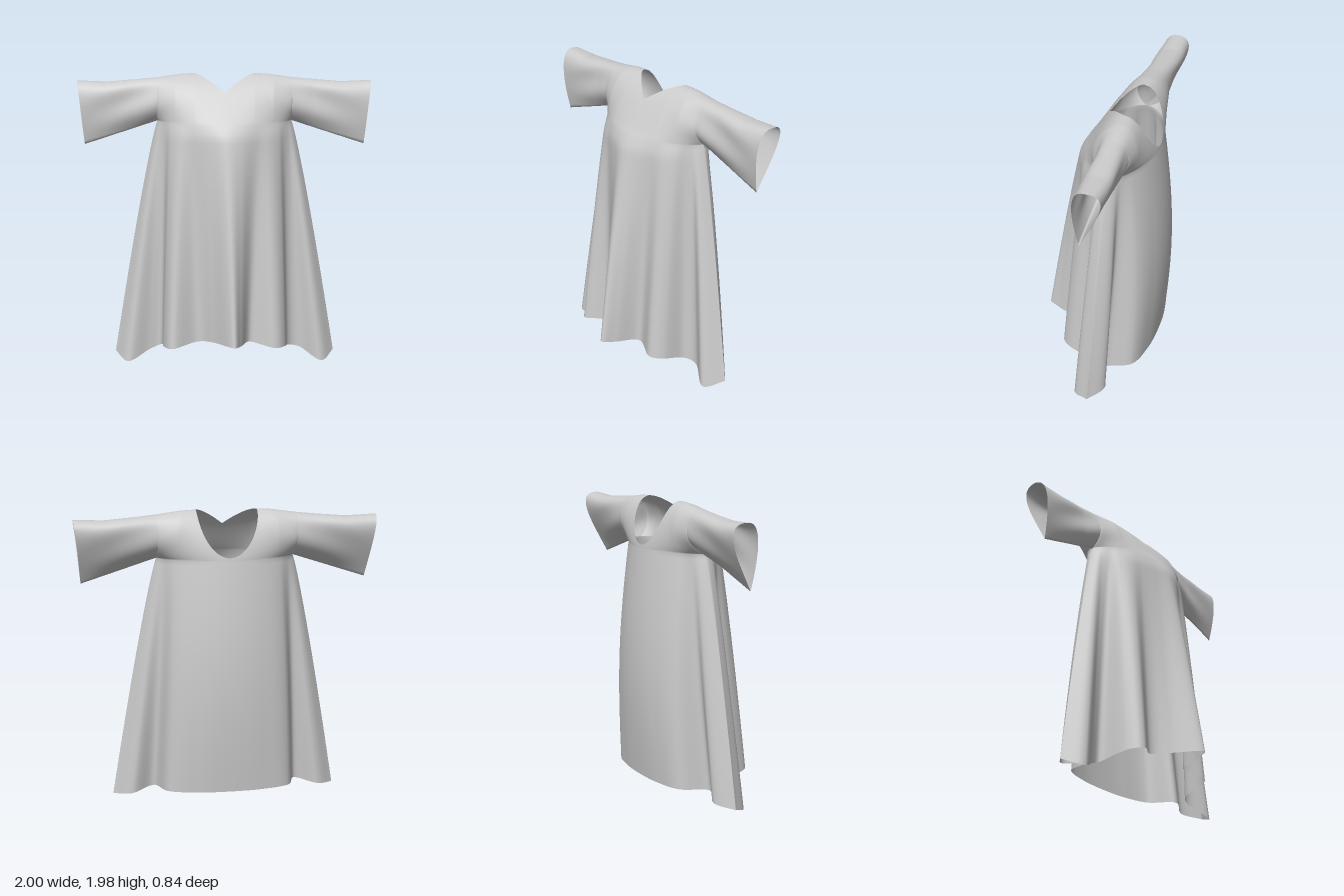
import * as THREE from 'three';
import { mergeGeometries, mergeVertices } from 'three/addons/utils/BufferGeometryUtils.js';

const NECK = 0.2, ARM = 0.455, ARM_Y = 1.67, ARM_Z = -0.13;
const { lerp, clamp, smoothstep } = THREE.MathUtils;

// Piecewise linear lookup in rows of [x, value, value, ...]
function lookup(rows, x) {
  let i = 0;
  while (i < rows.length - 2 && x > rows[i + 1][0]) i++;
  const t = clamp((x - rows[i][0]) / (rows[i + 1][0] - rows[i][0]), 0, 1);
  return rows[i].slice(1).map((v, k) => lerp(v, rows[i + 1][k + 1], t));
}

// Grid surface from point(i, j); flip turns it to face the other way
function grid(cols, rows, point, flip) {
  const pos = [], idx = [];
  for (let i = 0; i <= cols; i++) for (let j = 0; j <= rows; j++) pos.push(...point(i, j));
  for (let i = 0; i < cols; i++) for (let j = 0; j < rows; j++) {
    const a = i * (rows + 1) + j, b = a + rows + 1;
    if (flip) idx.push(a, b + 1, b, a, a + 1, b + 1);
    else idx.push(a, b, b + 1, a, b + 1, a + 1);
  }
  const g = new THREE.BufferGeometry();
  g.setAttribute('position', new THREE.Float32BufferAttribute(pos, 3));
  g.setIndex(idx);
  return g;
}

// Column positions from the middle to the cuff, mirrored
const half = [];
for (let i = 1; i <= 24; i++) half.push(NECK * Math.sin(i / 24 * Math.PI / 2));
for (let i = 1; i <= 48; i++) half.push(lerp(NECK, ARM, Math.sin(i / 48 * Math.PI / 2)));
const bodyXs = [...half.map(x => -x).reverse(), 0, ...half];
for (let i = 1; i <= 28; i++) half.push(lerp(ARM, 1, i / 28));
const allXs = [...half.map(x => -x).reverse(), 0, ...half];

// Fullness of the chest across its width, and its section at underarm height
const fullness = x => Math.pow(1 - Math.min(1, Math.abs(x) / ARM) ** 2, 0.66);
const chestZ = (x, front) => ARM_Z + (front ? 0.26 : -0.225) * fullness(x);

// Shoulder ridge: x, y, z
const RIDGE = [[0.2, 1.985, -0.18], [0.3, 1.98, -0.18], [0.455, 1.957, -0.17],
  [0.6, 1.943, -0.175], [0.8, 1.925, -0.18], [1, 1.935, -0.18]];
// Control points of the section: x, lower z, y, upper z, y
const FRONT = [[0.2, 0.045, 1.78, -0.05, 1.985], [0.33, 0.02, 1.76, -0.03, 1.975],
  [0.455, -0.035, 1.71, -0.03, 1.96], [0.6, -0.065, 1.69, -0.045, 1.945], [1, -0.08, 1.69, -0.05, 1.94]];
const BACK = [[0.2, -0.345, 1.78, -0.27, 1.985], [0.33, -0.335, 1.76, -0.3, 1.975],
  [0.455, -0.3, 1.71, -0.33, 1.96], [0.6, -0.26, 1.69, -0.35, 1.945], [1, -0.21, 1.69, -0.37, 1.94]];

const bezier = (p, c, d, q, t) =>
  p * (1 - t) ** 3 + 3 * c * t * (1 - t) ** 2 + 3 * d * t * t * (1 - t) + q * t ** 3;

// Point on the yoke or sleeve, s from the lower edge to the ridge or neckline
function upperPoint(x, s, front) {
  const a = Math.abs(x), n = a / NECK;
  const sleeve = clamp((a - ARM) / (1 - ARM), 0, 1);
  const y0 = lerp(ARM_Y, 1.51, sleeve);
  const z0 = a < ARM ? chestZ(x, front) : lerp(ARM_Z, -0.12, sleeve);
  const [yT, zT] = lookup(RIDGE, a);
  const [z1, y1, z2, y2] = lookup(front ? FRONT : BACK, a);
  let end = 1;
  if (n < 0.9999) {               // cut at the V neck or the scooped back
    const neckY = front ? 1.985 - 0.115 * (1 - n) ** 1.4 : 1.985 - 0.295 * (1 - n * n) ** 0.6;
    let low = 0;
    for (let k = 0; k < 30; k++) {
      const mid = (low + end) / 2;
      if (bezier(y0, y1, y2, yT, mid) < neckY) low = mid; else end = mid;
    }
  }
  const t = s * end;
  const y = bezier(y0, y1, y2, yT, t);
  let z = bezier(z0, z1, z2, zT, t);
  // soft drag folds running out from the underarm
  const amount = Math.sin(Math.PI * t) * clamp((a - 0.3) / 0.2, 0, 1) * clamp((1 - a) / 0.3, 0, 1);
  z += (front ? 0.012 : -0.008) * amount * Math.sin(24 * (y - 1.7) + 9 * (a - 0.45));
  // slanted cuff
  return [x - Math.sign(x) * 0.05 * sleeve * (1 - t), y, z];
}

// Hem lines with the hanging folds, from -x to +x
const curve = pts => new THREE.CatmullRomCurve3(pts.map(p => new THREE.Vector3(...p)), false, 'catmullrom', 0.5);
const FRONT_HEM = curve([
  [-0.765, 0.045, -0.09], [-0.67, 0.005, 0.03], [-0.53, 0.07, -0.03], [-0.44, 0.11, -0.03],
  [-0.42, 0.15, 0.15], [-0.35, 0.165, 0.245], [-0.19, 0.19, 0.165], [-0.08, 0.21, 0.25],
  [0.05, 0.225, 0.415], [0.105, 0.21, 0.33], [0.17, 0.19, 0.17], [0.33, 0.16, 0.22],
  [0.41, 0.15, 0.15], [0.44, 0.11, 0], [0.53, 0.08, -0.04], [0.67, 0.005, 0.03], [0.765, 0.045, -0.09]]);
const backHalf = [[0.765, 0.045, -0.09], [0.64, 0.07, -0.18], [0.49, 0.1, -0.12], [0.41, 0.115, -0.3], [0.22, 0.115, -0.36]];
const BACK_HEM = curve([...backHalf.map(([x, y, z]) => [-x, y, z]), [0, 0.115, -0.375], ...backHalf.reverse()]);
// Chest positions from which the hem points hang, middle to side
const hang = xs => xs.map((x, k) => [x, k / (xs.length - 1) / 2]);
const FRONT_HANG = hang([0, 0.11, 0.22, 0.3, 0.36, 0.395, 0.42, 0.442, ARM]);
const BACK_HANG = hang([0, 0.19, 0.34, 0.4, 0.435, ARM]);

// Point on the skirt, v from the hem up to the underarm
function skirtPoint(x, v, front) {
  const z = chestZ(x, front);
  const [s] = lookup(front ? FRONT_HANG : BACK_HANG, Math.abs(x));
  const hem = (front ? FRONT_HEM : BACK_HEM).getPoint(0.5 + Math.sign(x) * s);
  const d = 1 - v, w = Math.pow(d, 0.86);
  // bust in front, billow behind
  const bulge = front ? 0.03 * smoothstep(d, -0.03, 0.07) * v - 0.0066 * v
    : -0.055 * Math.sin(Math.PI * d);
  const swell = d === 0 ? 0 : bulge * fullness(x);
  return [lerp(x, hem.x, w), lerp(ARM_Y, hem.y, d), lerp(z, hem.z, w) + swell];
}

export function createModel() {
  const group = new THREE.Group();
  group.name = 'dress';
  const rows = 24, skirtRows = 50, parts = [];
  for (const front of [true, false]) {
    // yoke with both sleeves
    parts.push(grid(allXs.length - 1, rows, (i, j) => upperPoint(allXs[i], j / rows, front), !front));
    // skirt panel
    parts.push(grid(bodyXs.length - 1, skirtRows, (i, j) => skirtPoint(bodyXs[i], j / skirtRows, front), !front));
  }
  // one smooth sheet of cloth
  const cloth = mergeVertices(mergeGeometries(parts), 1e-4);
  cloth.computeVertexNormals();
  const mesh = new THREE.Mesh(cloth, new THREE.MeshStandardMaterial({ color: 0xcccccc, side: THREE.DoubleSide }));
  mesh.name = 'dressCloth';
  group.add(mesh);
  return group;
}
